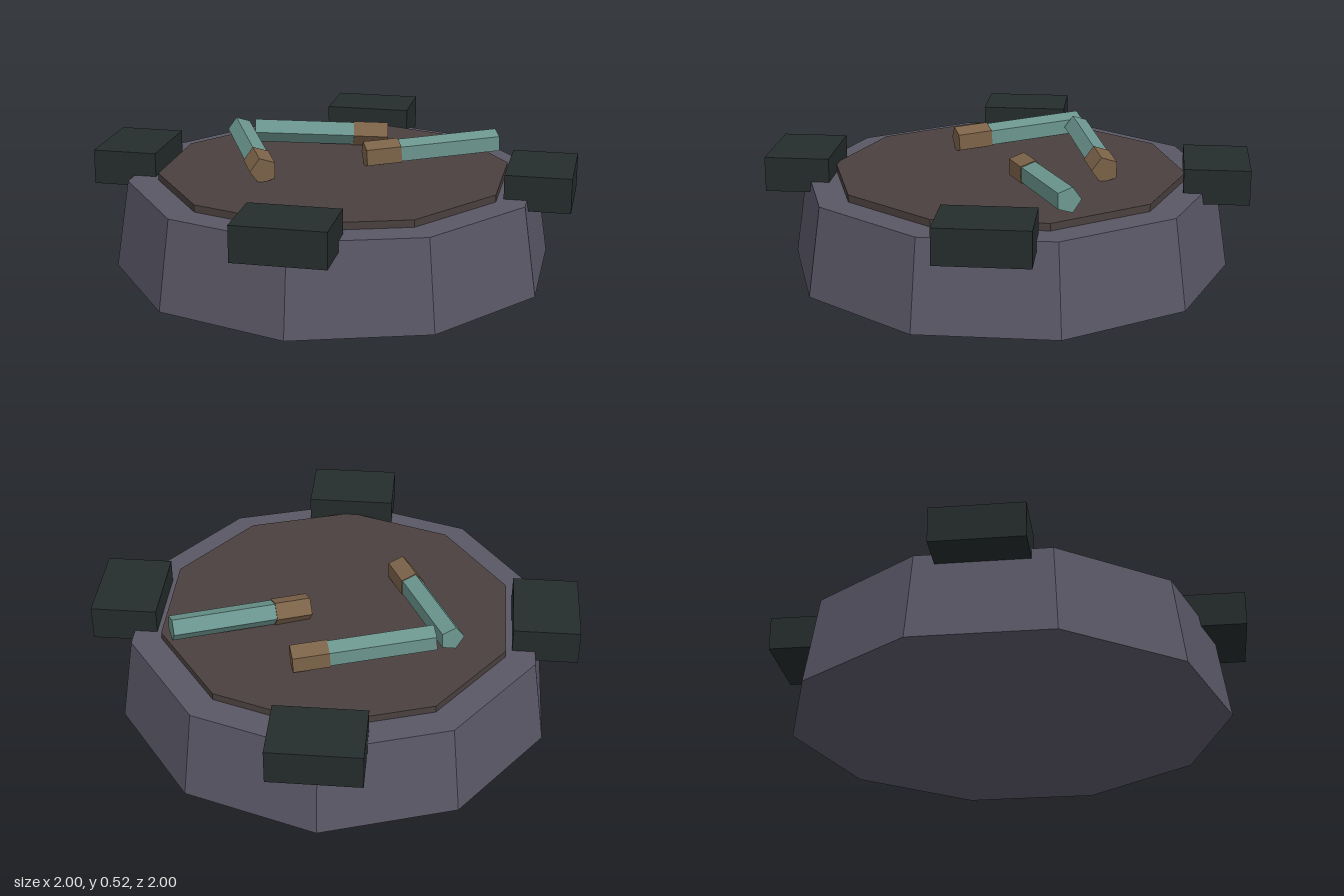
import * as THREE from 'three';

const paint = (color) => {
  const m = new THREE.MeshStandardMaterial({ flatShading: true });
  m.color.set(color);
  return m;
};

export function createModel() {
  const model = new THREE.Group();
  const stone = paint(0x5a5766), soil = paint(0x4a403f), block = paint(0x252c2c);
  const teal = paint(0x6b958e), brown = paint(0x7c6349);

  const add = (parent, name, geometry, material, x = 0, y = 0, z = 0) => {
    const mesh = new THREE.Mesh(geometry, material);
    mesh.name = name;
    mesh.position.set(x, y, z);
    parent.add(mesh);
    return mesh;
  };

  // Tapered ten-sided base with a raised disc on top
  add(model, 'base', new THREE.CylinderGeometry(0.866, 0.924, 0.37, 10), stone, 0, 0.185, 0);
  add(model, 'topDisc', new THREE.CylinderGeometry(0.74, 0.74, 0.07, 10), soil, 0, 0.365, 0);

  // Four blocks straddling the rim
  ['frontBlock', 'leftBlock', 'backBlock', 'rightBlock'].forEach((name, i) => {
    const a = i * Math.PI / 2;
    const mesh = add(model, name, new THREE.BoxGeometry(0.37, 0.145, 0.27), block,
      Math.sin(a) * 0.865, 0.3975, Math.cos(a) * 0.865);
    mesh.rotation.y = a;
  });

  // Five-sided sticks, each running along its own +x from the shaft end to the capped end
  const rod = (r, length) => new THREE.CylinderGeometry(r, r, length, 5).rotateZ(-Math.PI / 2);
  const capLength = 0.15;
  const sticks = [
    [-0.415, -0.26, 0.148, -0.412], // shaft end x, z, cap end x, z
    [-0.485, -0.265, -0.243, 0.255],
    [0.647, -0.292, 0.115, -0.058],
  ];
  sticks.forEach(([x0, z0, x1, z1], i) => {
    const length = Math.hypot(x1 - x0, z1 - z0);
    const stick = new THREE.Group();
    stick.name = 'stick' + (i + 1);
    stick.position.set((x0 + x1) / 2, 0.46, (z0 + z1) / 2);
    stick.rotation.set(0, Math.atan2(z0 - z1, x1 - x0), -0.05);
    add(stick, 'shaft', rod(0.053, length - capLength), teal, -capLength / 2);
    add(stick, 'cap', rod(0.058, capLength), brown, (length - capLength) / 2);
    model.add(stick);
  });

  return model;
}
